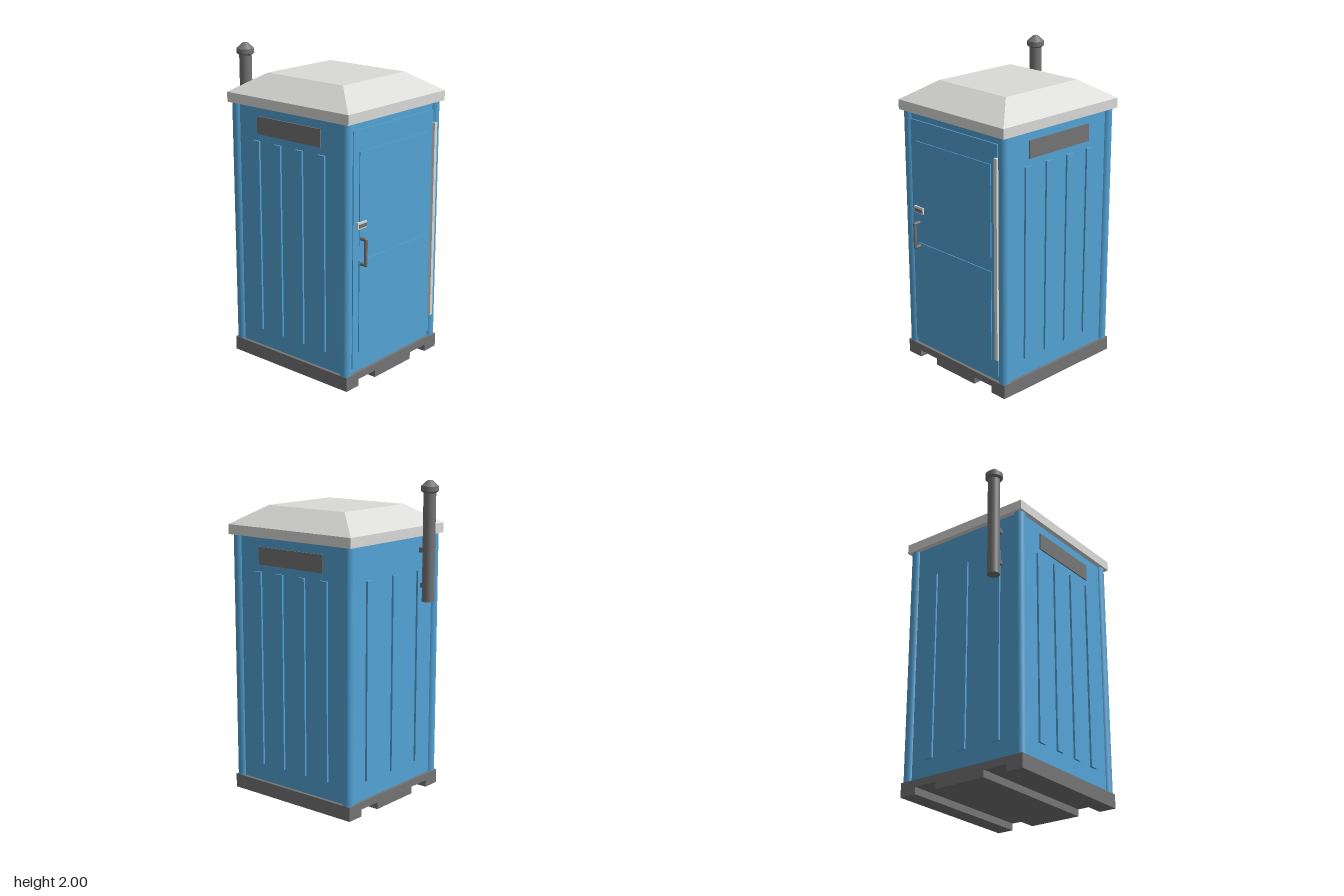
import * as THREE from 'three';

const mat = (name, color) => {
  const m = new THREE.MeshStandardMaterial({ color });
  m.name = name;
  return m;
};

export function createModel() {
  const blue = mat('blue plastic', 0x53a3d6);
  const grey = mat('dark grey plastic', 0x747474);
  const light = mat('light grey plastic', 0xdadbd9);
  const root = new THREE.Group();
  root.name = 'portableToilet';

  const add = (name, geometry, material, x = 0, y = 0, z = 0) => {
    const mesh = new THREE.Mesh(geometry, material);
    mesh.name = name;
    mesh.position.set(x, y, z);
    root.add(mesh);
    return mesh;
  };
  // Box given by its limits along each axis
  const box = (name, material, [x0, x1], [y0, y1], [z0, z1]) =>
    add(name, new THREE.BoxGeometry(x1 - x0, y1 - y0, z1 - z0), material,
      (x0 + x1) / 2, (y0 + y1) / 2, (z0 + z1) / 2);

  const CX = 0.022; // middle of the cabin
  const HX = 0.477, HZ = 0.45; // half sizes of the base

  // Skid base with two fork channels running from side to side
  const profile = new THREE.Shape();
  [[-HZ, 0], [-0.335, 0], [-0.335, 0.045], [-0.178, 0.045], [-0.178, 0],
    [0.178, 0], [0.178, 0.045], [0.335, 0.045], [0.335, 0], [HZ, 0], [HZ, 0.09], [-HZ, 0.09]]
    .forEach(([z, y], i) => (i ? profile.lineTo(z, y) : profile.moveTo(z, y)));
  const baseGeo = new THREE.ExtrudeGeometry(profile, { depth: 2 * HX, bevelEnabled: false });
  baseGeo.translate(0, 0, -HX).rotateY(Math.PI / 2);
  add('base', baseGeo, grey, CX);

  // Cabin walls and round corner posts
  box('walls', blue, [CX - HX + 0.02, CX + HX - 0.02], [0.09, 1.67], [-HZ + 0.02, HZ - 0.02]);
  for (const sx of [-1, 1]) for (const sz of [-1, 1]) {
    add('cornerPost', new THREE.CylinderGeometry(0.035, 0.035, 1.57, 24), blue,
      CX + sx * (HX - 0.035), 0.875, sz * (HZ - 0.035));
  }

  // Ribs and vents on the front and back walls
  for (const s of [-1, 1]) {
    const range = (d) => (s > 0 ? [0.425, 0.43 + d] : [-0.43 - d, -0.425]);
    for (let i = 0; i < 4; i++) {
      const x = CX + (i - 1.5) * 0.177;
      box('wallRib', blue, [x - 0.027, x + 0.027], [0.205, 1.445], range(0.013));
    }
    box('vent', grey, [CX - 0.257, CX + 0.257], [1.49, 1.6], range(0.008));
  }
  // Ribs on the wall opposite the door
  for (const z of [-0.25, 0, 0.25]) {
    box('sideRib', blue, [-0.448, -0.43], [0.205, 1.445], [z - 0.027, z + 0.027]);
  }

  // Door with two raised panels
  box('door', blue, [0.47, 0.488], [0.125, 1.61], [-0.382, 0.382]);
  for (const y of [[0.22, 0.81], [0.9, 1.48]]) {
    box('doorPanel', blue, [0.48, 0.494], y, [-0.33, 0.33]);
  }
  box('hingeStrip', light, [0.48, 0.508], [0.245, 1.53], [-0.397, -0.372]);

  // Lock plate and indicator
  box('lockPlate', light, [0.48, 0.503], [1.013, 1.055], [0.272, 0.355]);
  box('lockIndicator', grey, [0.5, 0.507], [1.021, 1.043], [0.279, 0.348]);

  // Door handle: upright grip on two arms
  const rod = (length) => new THREE.CapsuleGeometry(0.011, length, 6, 12);
  add('handleGrip', rod(0.158), grey, 0.532, 0.87, 0.317);
  for (const y of [0.791, 0.949]) {
    add('handleArm', rod(0.045), grey, 0.5095, y, 0.317).rotation.z = Math.PI / 2;
  }

  // Roof: flat rim with a hipped top, made from rectangular rings
  const rings = [[0.49, 1.66, 0.46], [0.49, 1.722, 0.46], [0.304, 1.84, 0.29]];
  const corner = ([hx, y, hz], k) =>
    [[-hx, y, hz], [hx, y, hz], [hx, y, -hz], [-hx, y, -hz]][k % 4];
  const pos = [];
  const quad = (a, b, c, d) => pos.push(...a, ...b, ...c, ...a, ...c, ...d);
  for (let r = 0; r < 2; r++) for (let k = 0; k < 4; k++) {
    quad(corner(rings[r], k), corner(rings[r], k + 1),
      corner(rings[r + 1], k + 1), corner(rings[r + 1], k));
  }
  quad(...[0, 1, 2, 3].map((k) => corner(rings[2], k)));
  quad(...[3, 2, 1, 0].map((k) => corner(rings[0], k)));
  const roofGeo = new THREE.BufferGeometry();
  roofGeo.setAttribute('position', new THREE.Float32BufferAttribute(pos, 3));
  roofGeo.computeVertexNormals();
  add('roof', roofGeo, light, CX + 0.001);

  // Vent pipe with cap and wall brackets
  const px = -0.493, pz = 0.27;
  add('ventPipe', new THREE.CylinderGeometry(0.039, 0.039, 0.69, 32), grey, px, 1.595, pz);
  add('capTaper', new THREE.CylinderGeometry(0.055, 0.039, 0.012, 32), grey, px, 1.93, pz);
  add('capRim', new THREE.CylinderGeometry(0.055, 0.055, 0.03, 32), grey, px, 1.95, pz);
  add('capTop', new THREE.CylinderGeometry(0.016, 0.055, 0.035, 32), grey, px, 1.9825, pz);
  for (const y of [1.35, 1.57]) {
    box('pipeBracket', grey, [px, -0.43], [y - 0.015, y + 0.015], [pz - 0.025, pz + 0.025]);
  }

  return root;
}
